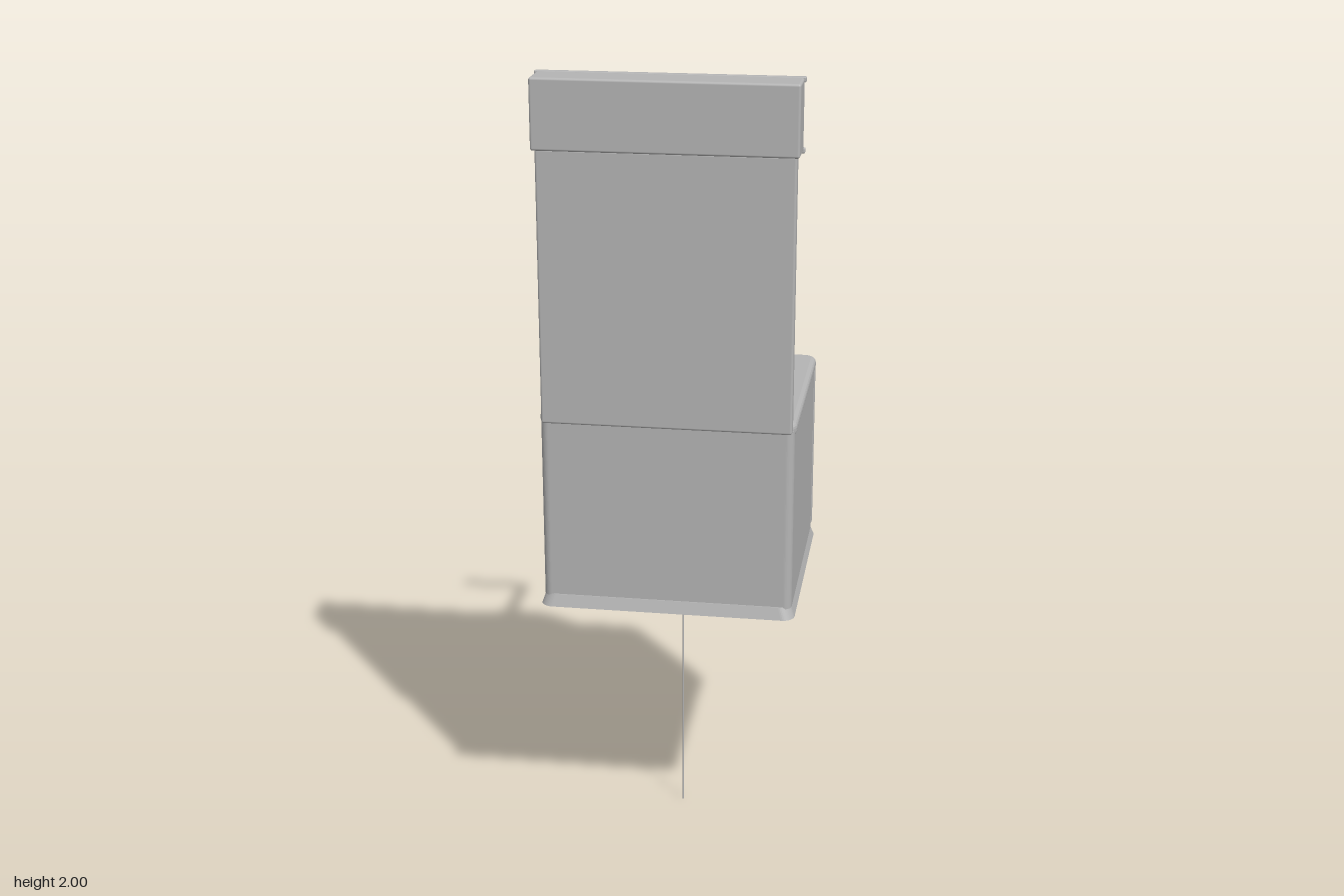
import * as THREE from 'three';
import { RoundedBoxGeometry } from 'three/addons/geometries/RoundedBoxGeometry.js';

export function createModel() {
  const model = new THREE.Group();
  const grey = new THREE.MeshStandardMaterial({ color: 0xb4b4b4 });
  grey.name = 'brushed grey';

  const add = (name, geometry) => {
    const mesh = new THREE.Mesh(geometry, grey);
    mesh.name = name;
    model.add(mesh);
    return mesh;
  };
  // Box given by its limits, with optional rounded edges
  const box = (name, x0, x1, y0, y1, z0, z1, r = 0) => {
    const size = [x1 - x0, y1 - y0, z1 - z0];
    const g = r ? new RoundedBoxGeometry(...size, 3, r) : new THREE.BoxGeometry(...size);
    add(name, g).position.set((x0 + x1) / 2, (y0 + y1) / 2, (z0 + z1) / 2);
  };
  // Horizontal slab with rounded corners and an optional bevel
  const slab = (name, hx, hz, r, y0, y1, cz, bevel = 0) => {
    const a = hx - bevel, b = hz - bevel, s = new THREE.Shape();
    s.absarc(a - r, b - r, r, 0, Math.PI / 2);
    s.absarc(-a + r, b - r, r, Math.PI / 2, Math.PI);
    s.absarc(-a + r, -b + r, r, Math.PI, Math.PI * 1.5);
    s.absarc(a - r, -b + r, r, Math.PI * 1.5, Math.PI * 2);
    s.closePath();
    const g = new THREE.ExtrudeGeometry(s, {
      depth: y1 - y0 - 2 * bevel, bevelEnabled: bevel > 0, bevelSize: bevel,
      bevelThickness: bevel, bevelSegments: 4, curveSegments: 6,
    });
    g.rotateX(-Math.PI / 2).translate(0, y0 + bevel, 0);
    add(name, g).position.z = cz;
    return g;
  };

  // Base skirt, narrower at its top
  const skirt = slab('baseSkirt', 0.316, 0.297, 0.03, 0.685, 0.715, -0.003);
  const p = skirt.attributes.position;
  for (let i = 0; i < p.count; i++) {
    if (p.getY(i) > 0.7) p.setXYZ(i, p.getX(i) * 0.965, p.getY(i), p.getZ(i) * 0.965);
  }
  skirt.computeVertexNormals();

  // Cabinet, counter and back panel
  slab('cabinet', 0.308, 0.281, 0.02, 0.71, 1.17, 0);
  slab('counter', 0.312, 0.287, 0.02, 1.153, 1.187, -0.006, 0.013);
  box('backPanel', -0.295, 0.295, 0.762, 1.16, -0.291, -0.275);
  box('kickPanel', -0.295, 0.295, 0.715, 0.757, -0.293, -0.275);
  for (const s of [-1, 1]) {
    const x = s * 0.303;
    box('cornerTrim', x - 0.006, x + 0.006, 0.715, 1.16, -0.296, -0.275, 0.003);
  }

  // Round hob with raised rim
  const hob = add('roundHob', new THREE.LatheGeometry([
    [0.27, 1.18], [0.27, 1.18], [0.27, 1.302], [0.27, 1.302], [0.267, 1.308], [0.263, 1.31],
    [0.259, 1.307], [0.257, 1.302], [0.257, 1.302], [0.257, 1.295], [0.257, 1.295], [0, 1.295],
  ].map(([x, y]) => new THREE.Vector2(x, y)), 64));
  hob.position.z = -0.007;

  // Splashback with hood box and lips
  box('splashback', -0.303, 0.303, 1.165, 1.832, 0.257, 0.29, 0.006);
  box('hoodBox', -0.31, 0.31, 1.83, 1.998, 0.215, 0.305, 0.006);
  box('hoodTopLip', -0.314, 0.314, 1.988, 2, 0.206, 0.222, 0.003);
  box('hoodBottomLip', -0.314, 0.314, 1.826, 1.838, 0.206, 0.222, 0.003);

  // Bent rail
  box('railPost', 0.19, 0.215, 1.3, 1.785, 0.23, 0.258, 0.005);
  box('railArm', 0.19, 0.215, 1.767, 1.785, -0.182, 0.25, 0.004);
  box('railEnd', 0, 0.215, 1.767, 1.785, -0.182, -0.157, 0.004);

  // Control plate with switches, knob and small badge plate
  box('controlPlate', 0.095, 0.2, 0.775, 0.94, -0.3, -0.288);
  box('switch', 0.107, 0.137, 0.858, 0.868, -0.304, -0.298);
  box('switch', 0.16, 0.19, 0.858, 0.868, -0.304, -0.298);
  const knob = add('controlKnob', new THREE.CylinderGeometry(0.009, 0.009, 0.012, 16));
  knob.rotation.x = Math.PI / 2;
  knob.position.set(0.148, 0.81, -0.301);
  box('ventPlate', -0.2, -0.12, 0.757, 0.79, -0.294, -0.288);
  for (let i = 0; i < 6; i++) {
    const stud = add('stud', new THREE.CylinderGeometry(0.003, 0.003, 0.006, 8));
    stud.rotation.x = Math.PI / 2;
    stud.position.set(0.2 - i * 0.09, 0.745, -0.294);
  }

  // Underside plug and thin cord
  add('plug', new THREE.CapsuleGeometry(0.022, 0.05, 6, 20)).position.y = 0.667;
  add('cord', new THREE.CylinderGeometry(0.002, 0.002, 0.64, 8)).position.y = 0.32;

  return model;
}
